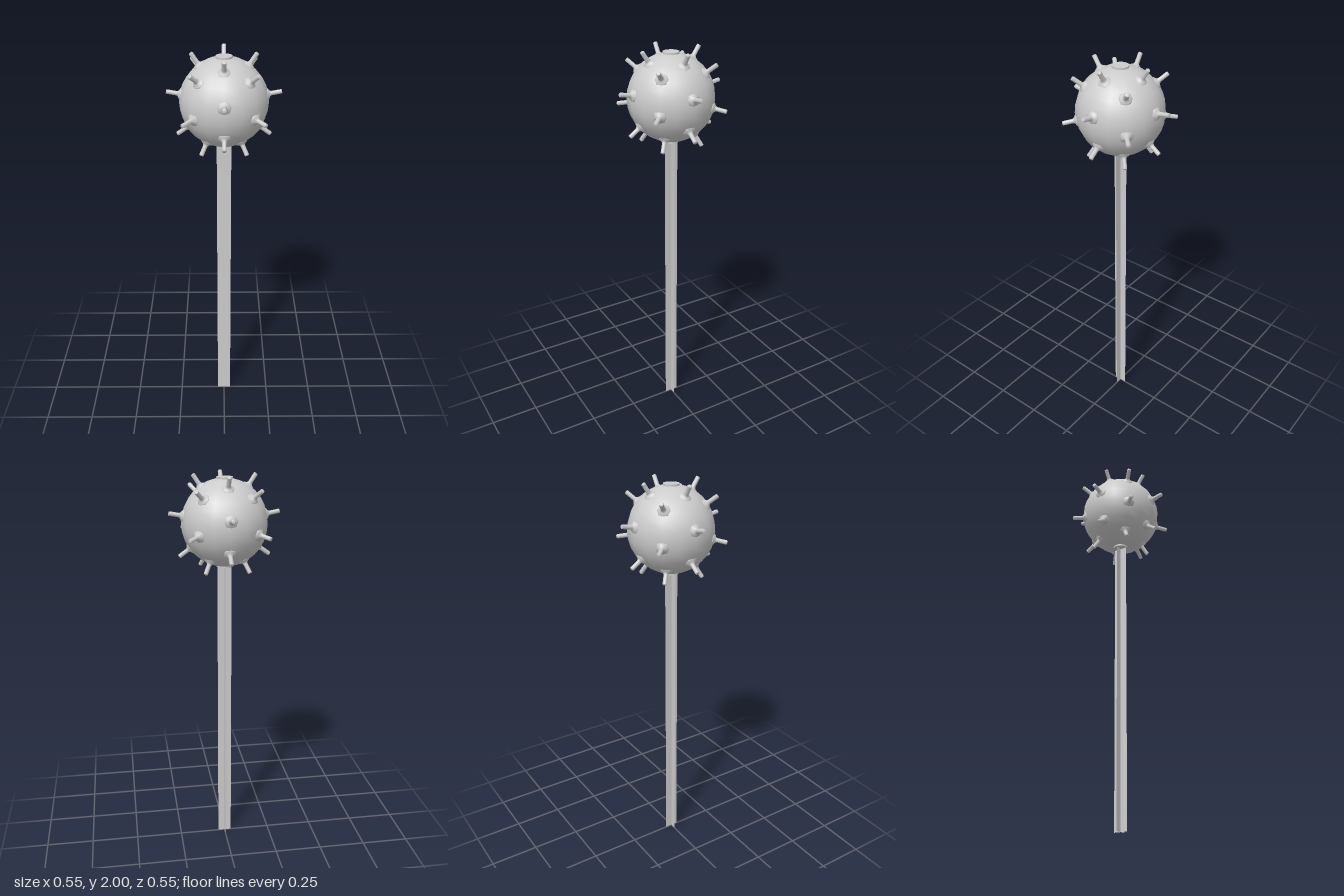
import * as THREE from 'three';

const CENTER_Y = 1.767;
const RADIUS = 0.213;

export function createModel() {
  const model = new THREE.Group();
  const grey = new THREE.MeshStandardMaterial({ color: 0xcccccc });
  const thin = new THREE.MeshStandardMaterial({ color: 0xcccccc, side: THREE.DoubleSide });

  const add = (name, geometry, material, parent) => {
    const mesh = new THREE.Mesh(geometry, material);
    mesh.name = name;
    parent.add(mesh);
    return mesh;
  };

  // Shaft: two crossed thin strips
  const shaft = new THREE.Group();
  shaft.name = 'shaft';
  model.add(shaft);
  const shaftHeight = 1.57;
  for (let i = 0; i < 2; i++) {
    const strip = add('shaftStrip', new THREE.PlaneGeometry(0.072, shaftHeight), thin, shaft);
    strip.position.y = shaftHeight / 2;
    strip.rotation.y = i * Math.PI / 2;
  }

  // Head: ball with a shallow round cap at each pole
  const head = new THREE.Group();
  head.name = 'head';
  head.position.y = CENTER_Y;
  model.add(head);
  add('ball', new THREE.SphereGeometry(RADIUS, 16, 16), grey, head);
  for (const side of [1, -1]) {
    const cap = add('poleCap', new THREE.CylinderGeometry(0.04, 0.04, 0.012, 16), grey, head);
    cap.position.y = side * 0.212;
  }

  // Spike: flared foot, straight rod, slightly bevelled tip (along +y from the ball centre)
  const profile = [
    [0.034, 0.195], [0.032, 0.207], [0.026, 0.213], [0.016, 0.218],
    [0.011, 0.226], [0.011, 0.273], [0.009, 0.277], [0, 0.277],
  ].map(([x, y]) => new THREE.Vector2(x, y));
  const spikeGeometry = new THREE.LatheGeometry(profile, 8);

  // Rings of four spikes, alternately on the axes and on the diagonals
  const rings = [[56.5, 0], [37.5, 45], [10.5, 0], [-10.5, 45], [-35.5, 0], [-56, 45]];
  const up = new THREE.Vector3(0, 1, 0);
  for (const [elevation, offset] of rings) {
    for (let i = 0; i < 4; i++) {
      const direction = new THREE.Vector3().setFromSphericalCoords(
        1,
        THREE.MathUtils.degToRad(90 - elevation),
        THREE.MathUtils.degToRad(offset + i * 90),
      );
      const spike = add('spike', spikeGeometry, grey, head);
      spike.quaternion.setFromUnitVectors(up, direction);
    }
  }

  return model;
}
